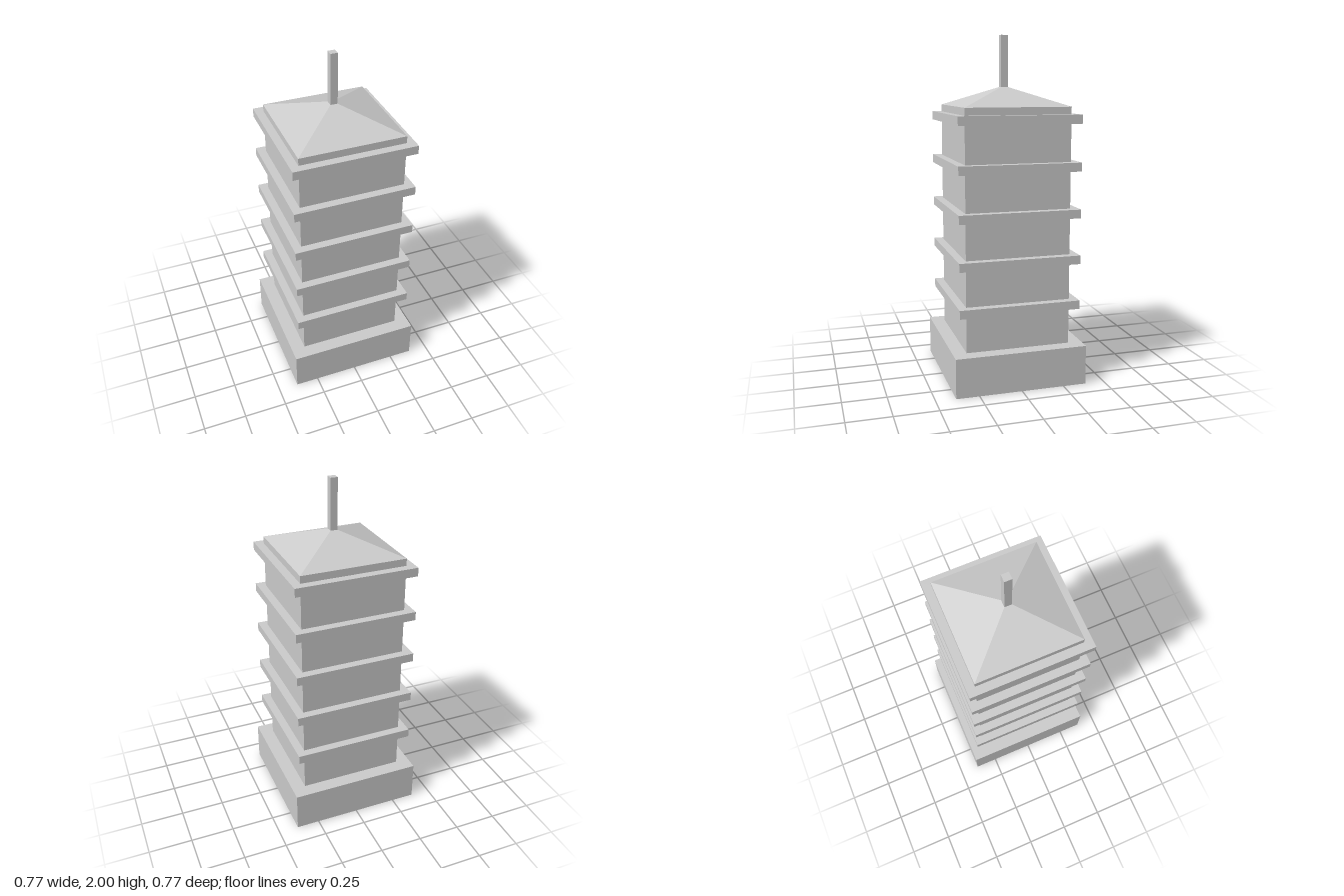
import * as THREE from 'three';

const material = new THREE.MeshStandardMaterial({ color: 0xcccccc, flatShading: true });

// Square block given by its half width and its bottom and top heights
function block(name, half, y0, y1) {
  const mesh = new THREE.Mesh(new THREE.BoxGeometry(2 * half, y1 - y0, 2 * half), material);
  mesh.position.y = (y0 + y1) / 2;
  mesh.name = name;
  return mesh;
}

export function createModel() {
  const tower = new THREE.Group();
  tower.name = 'tower';

  const baseTop = 0.23, wallHalf = 0.305, ledgeHalf = 0.353;
  const floors = 5, pitch = 0.2655, ledgeHeight = 0.05;
  const eaves = 1.6, apex = 1.714;

  tower.add(block('base', 0.385, 0, baseTop));

  // Storeys, each capped by a projecting ledge
  let bottom = baseTop;
  for (let i = 0; i < floors; i++) {
    const ledgeBottom = 0.446 + i * pitch;
    const ledgeTop = ledgeBottom + ledgeHeight;
    tower.add(block(`storey${i + 1}`, wallHalf, bottom, ledgeBottom));
    tower.add(block(`ledge${i + 1}`, ledgeHalf, ledgeBottom, ledgeTop));
    bottom = ledgeTop;
  }

  // Low parapet carrying the four-sided roof
  tower.add(block('parapet', wallHalf, bottom, eaves));
  const roofGeometry = new THREE.ConeGeometry(wallHalf * Math.SQRT2, apex - eaves, 4);
  roofGeometry.rotateY(Math.PI / 4);
  const roof = new THREE.Mesh(roofGeometry, material);
  roof.position.y = (eaves + apex) / 2;
  roof.name = 'roof';
  tower.add(roof);

  tower.add(block('spire', 0.021, apex - 0.02, 2));
  return tower;
}
